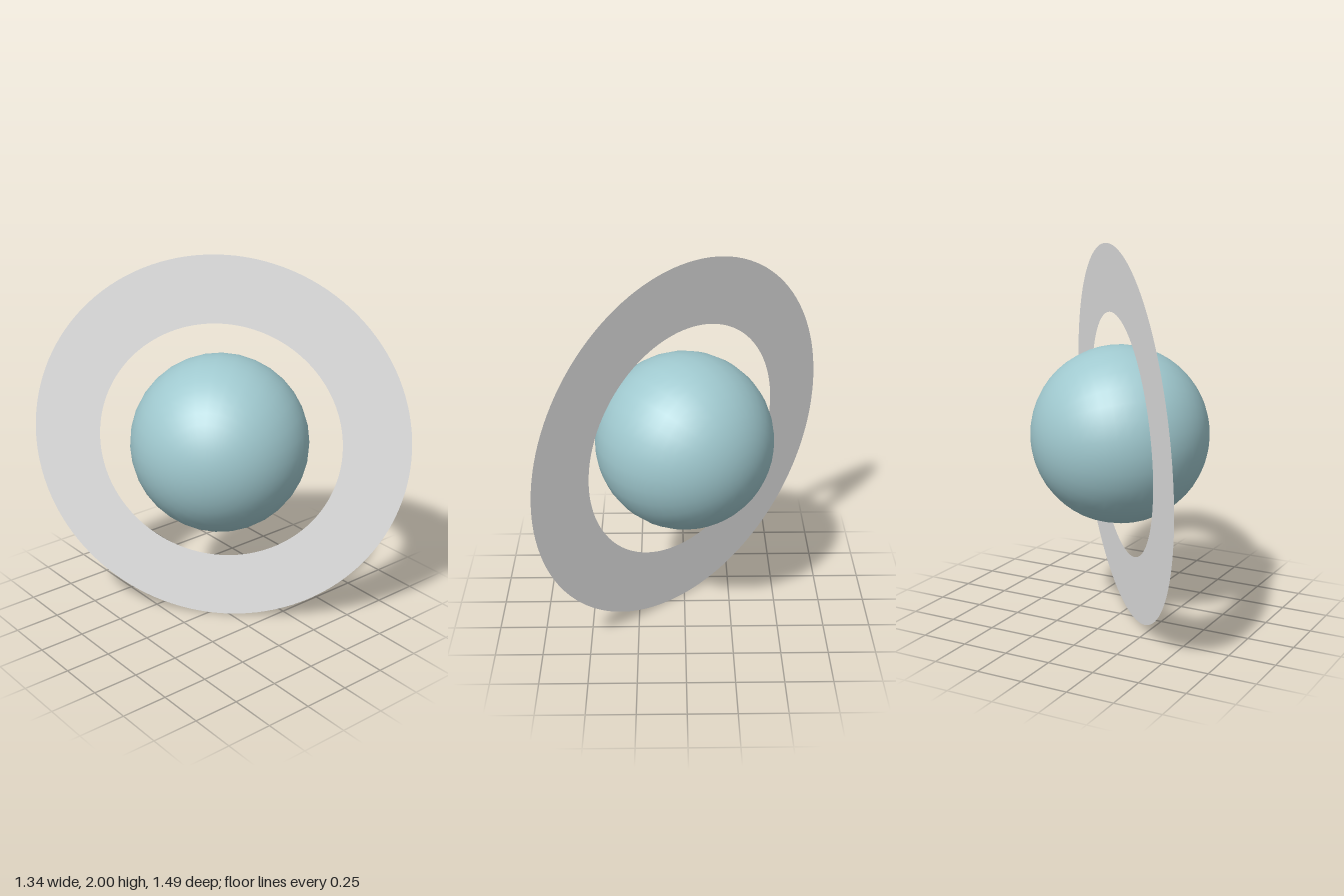
import * as THREE from 'three';

export function createModel() {
  const model = new THREE.Group();
  const paleTeal = new THREE.MeshStandardMaterial({ color: 0xa0c9cf });
  const ringGrey = new THREE.MeshStandardMaterial({ color: 0xf0f0f0, side: THREE.DoubleSide });
  paleTeal.name = 'paleTeal';
  ringGrey.name = 'ringGrey';

  // The planet's axis lies almost flat, so the ring stands nearly upright
  const axis = new THREE.Vector3(-0.742, 0.057, 0.668).normalize();
  const tilted = new THREE.Group();
  tilted.name = 'tiltedPlanet';
  tilted.position.y = 1;
  tilted.quaternion.setFromUnitVectors(new THREE.Vector3(0, 0, 1), axis);
  model.add(tilted);

  // Smooth globe with its poles on the ring axis
  const globeGeometry = new THREE.SphereGeometry(0.471, 32, 24);
  globeGeometry.rotateX(Math.PI / 2);
  const globe = new THREE.Mesh(globeGeometry, paleTeal);
  globe.name = 'globe';
  globe.position.set(0, 0.005, 0).applyQuaternion(tilted.quaternion.clone().invert());
  tilted.add(globe);

  // Flat ring with no thickness, seen from both sides
  const ring = new THREE.Mesh(new THREE.RingGeometry(0.647, 1.0015, 128, 1), ringGrey);
  ring.name = 'ring';
  tilted.add(ring);

  return model;
}
